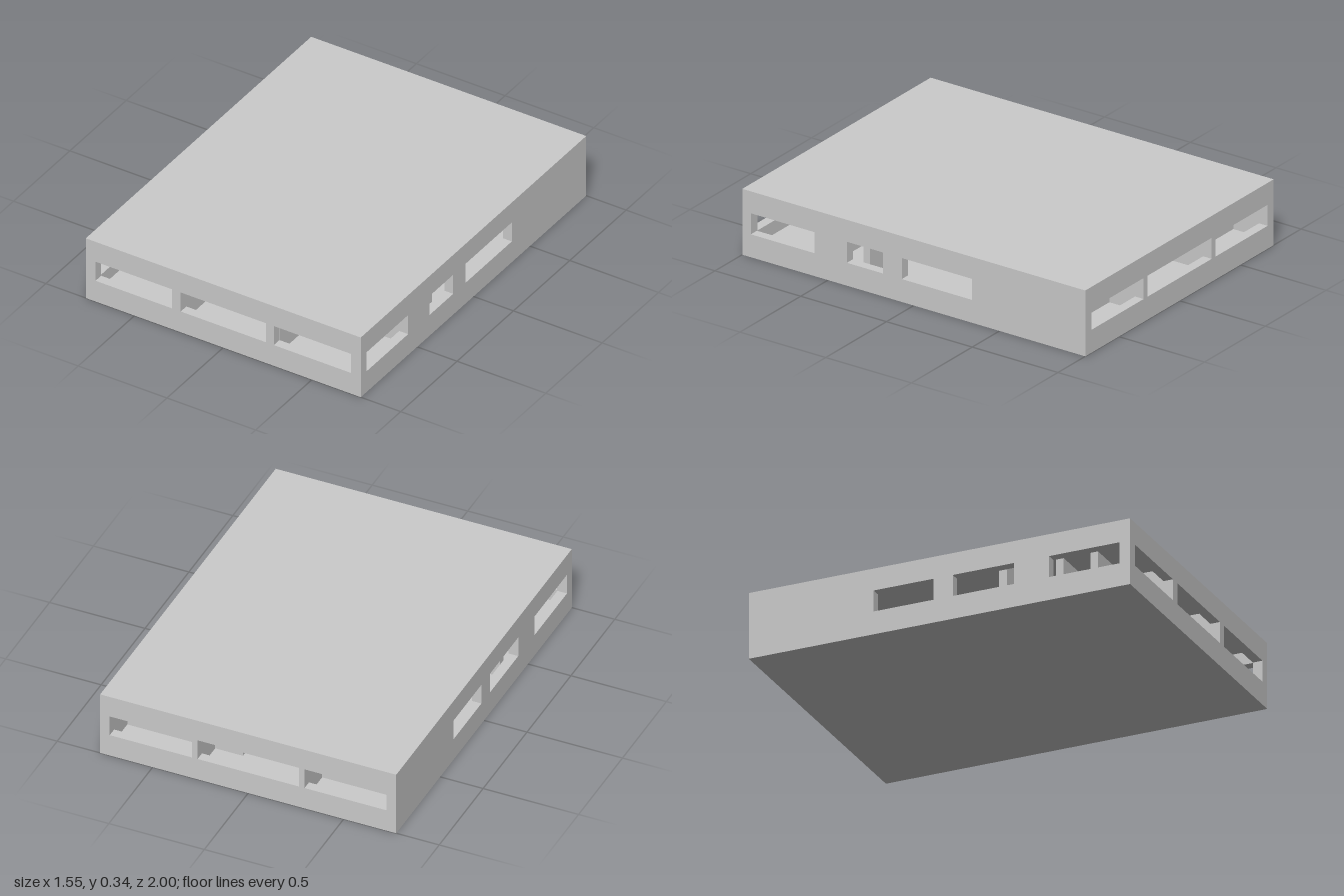
import * as THREE from 'three';

const W = 1.55, H = 0.345, D = 2, T = 0.05;
const SILL = 0.12, HEAD = 0.23;
const material = new THREE.MeshStandardMaterial({ color: 0xcccccc, flatShading: true });

export function createModel() {
  const group = new THREE.Group();

  function add(name, geometry) {
    const mesh = new THREE.Mesh(geometry, material);
    mesh.name = name;
    group.add(mesh);
    return mesh;
  }

  function box(name, x0, x1, y0, y1, z0, z1) {
    add(name, new THREE.BoxGeometry(x1 - x0, y1 - y0, z1 - z0))
      .position.set((x0 + x1) / 2, (y0 + y1) / 2, (z0 + z1) / 2);
  }

  const rect = (Type, a, b, c, d) => new Type([[a, c], [b, c], [b, d], [a, d]]
    .map(([x, y]) => new THREE.Vector2(x, y)));

  // Upright panel from a to b with window openings, extruded by the wall thickness
  function windowWall(name, a, b, windows) {
    const shape = rect(THREE.Shape, a, b, T, H - T);
    for (const [p, q] of windows) shape.holes.push(rect(THREE.Path, p, q, SILL, HEAD));
    return add(name, new THREE.ExtrudeGeometry(shape, { depth: T, bevelEnabled: false }));
  }

  // Floor and roof slabs
  box('floor', -W / 2, W / 2, 0, T, -D / 2, D / 2);
  box('roof', -W / 2, W / 2, H - T, H, -D / 2, D / 2);

  // Front and back walls
  windowWall('frontWall', -W / 2, W / 2, [[-0.72, -0.29], [-0.24, 0.24], [0.285, 0.72]])
    .position.z = D / 2 - T;
  windowWall('backWall', -W / 2, W / 2, [[-0.725, -0.295], [-0.265, 0.265], [0.295, 0.725]])
    .position.z = -D / 2;

  // Side walls: the panel's own axis runs along -z
  const sides = [
    ['leftWall', W / 2 - T, [[-0.95, -0.58], [-0.39, -0.18], [-0.07, 0.34]]],
    ['rightWall', -W / 2, [[-0.945, -0.575], [-0.39, -0.07], [0.03, 0.345]]],
  ];
  for (const [name, x, windows] of sides) {
    const wall = windowWall(name, -D / 2 + T, D / 2 - T, windows);
    wall.rotation.y = Math.PI / 2;
    wall.position.x = x;
  }

  // Inner walls: x0, x1, z0, z1
  const inner = W / 2 - T;
  const partitions = [
    // front rooms
    [-0.287, -0.24, 0.53, 0.95], [0.24, 0.287, 0.53, 0.95],
    [-0.6, -0.287, 0.71, 0.75],
    // corridor, with doorways
    [-0.6, 0.11, 0.53, 0.57], [0.165, 0.287, 0.53, 0.57], [0.36, inner, 0.53, 0.57],
    [-inner, 0.05, 0.29, 0.33], [0.2, inner, 0.29, 0.33],
    // middle rooms
    [-0.2, -0.16, -0.4, 0.29], [0.4, 0.44, -0.067, 0.29], [0.12, 0.165, -0.8, -0.163],
    // back rooms
    [-inner, -0.265, -0.8, -0.76], [0.165, inner, -0.8, -0.76],
    [-0.295, -0.265, -0.95, -0.8], [0.265, 0.295, -0.95, -0.8],
  ];
  for (const [x0, x1, z0, z1] of partitions) box('partition', x0, x1, T, H - T, z0, z1);

  return group;
}
